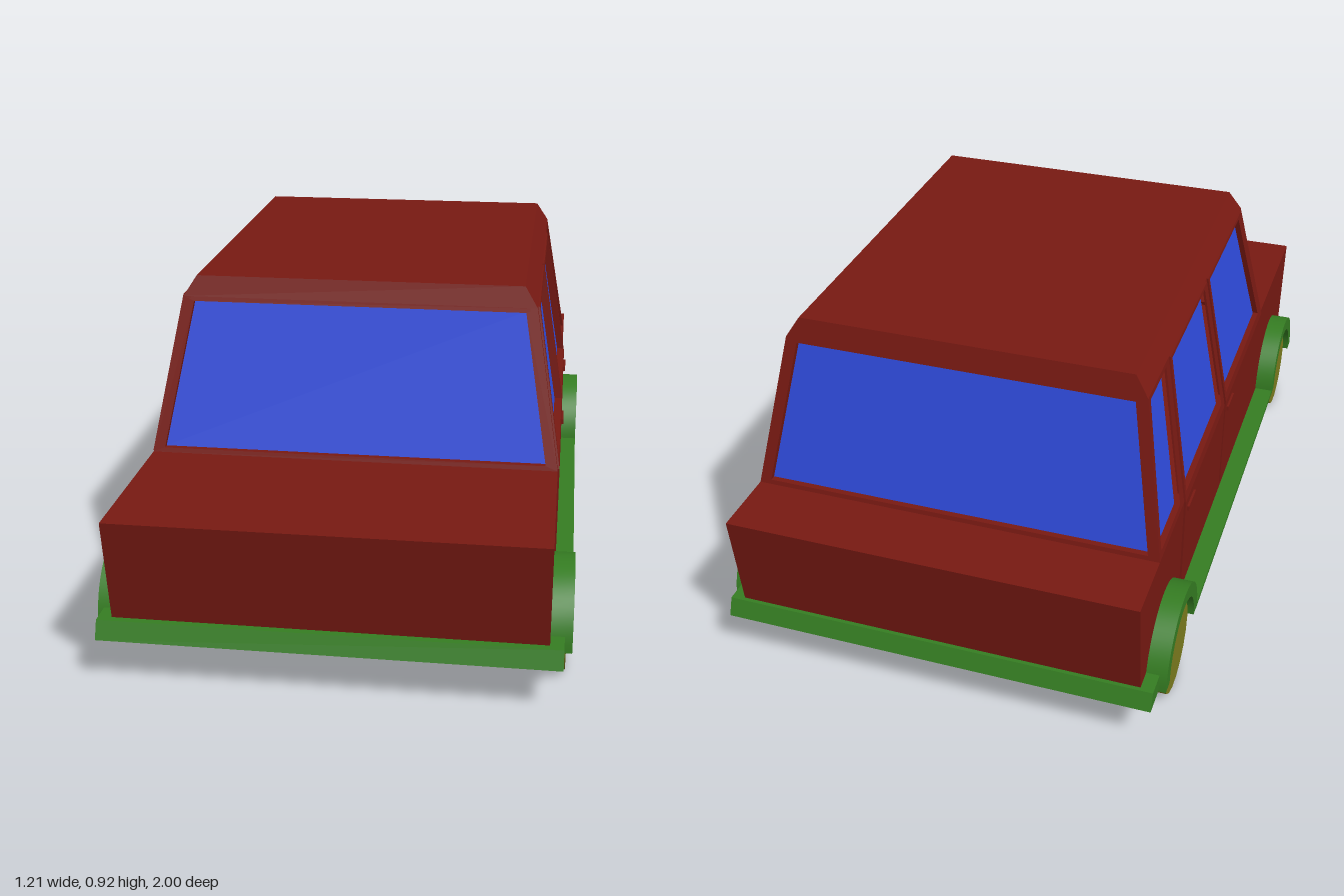
import * as THREE from 'three';
import { toCreasedNormals } from 'three/addons/utils/BufferGeometryUtils.js';

const mat = (color) => new THREE.MeshStandardMaterial({ color });
const BELT = 0.455, EAVE = 0.865, ROOF = 0.92, HALF = 0.55, FLOOR = 0.13;
const AXLES = [0.725, -0.738];

const toShape = (pts) => new THREE.Shape(pts.map(([a, b]) => new THREE.Vector2(a, b)));

export function createModel() {
  const car = new THREE.Group();
  car.name = 'car';
  const red = mat(0x781912), blue = mat(0x2f4bdc), green = mat(0x357d22), olive = mat(0x7d7d1e);

  function add(name, geometry, material, parent = car) {
    const mesh = new THREE.Mesh(geometry, material);
    mesh.name = name;
    parent.add(mesh);
    return mesh;
  }

  function box(name, material, [w, h, d], [x, y, z], parent = car) {
    const mesh = add(name, new THREE.BoxGeometry(w, h, d), material, parent);
    mesh.position.set(x, y, z);
    return mesh;
  }

  // Extrude a (z, y) profile sideways between two x positions
  function sideways(shape, x0, x1) {
    const g = new THREE.ExtrudeGeometry(shape, { depth: x1 - x0, bevelEnabled: false, curveSegments: 12 });
    g.rotateY(-Math.PI / 2).translate(x1, 0, 0);
    return toCreasedNormals(g, 0.5);
  }

  // Lean a flat panel inwards: distance from the centre goes from low (belt) to high (eave)
  function lean(geometry, low, high) {
    const p = geometry.attributes.position;
    for (let i = 0; i < p.count; i++) {
      const t = (p.getY(i) - BELT) / (EAVE - BELT);
      p.setZ(i, p.getZ(i) + low + (high - low) * t);
    }
    geometry.computeVertexNormals();
    return geometry;
  }

  function panel(outline, holes, low, high, outer, inner) {
    const shape = toShape(outline);
    holes.forEach((h) => shape.holes.push(toShape(h)));
    const g = new THREE.ExtrudeGeometry(shape, { depth: outer - inner, bevelEnabled: false });
    return lean(g.translate(0, 0, inner), low, high);
  }

  const glass = (outline, low, high) =>
    lean(new THREE.ShapeGeometry(toShape(outline)).translate(0, 0, -0.016), low, high);

  // Lower body with wheel tunnels
  const profile = new THREE.Shape();
  profile.moveTo(0.945, FLOOR);
  profile.lineTo(1, BELT);
  profile.lineTo(-1, BELT);
  profile.lineTo(-0.955, FLOOR);
  for (const z of [...AXLES].reverse()) profile.absarc(z, FLOOR, 0.135, Math.PI, 0, true);
  profile.closePath();
  add('lowerBody', sideways(profile, -HALF, HALF), red);

  // Roof: a box narrowed towards the top
  const roof = new THREE.BoxGeometry(1, 1, 1);
  const rp = roof.attributes.position;
  for (let i = 0; i < rp.count; i++) {
    const top = rp.getY(i) > 0, front = rp.getZ(i) > 0;
    rp.setXYZ(i, Math.sign(rp.getX(i)) * (top ? 0.445 : 0.48), top ? ROOF : EAVE,
      front ? (top ? 0.38 : 0.397) : (top ? -0.7 : -0.713));
  }
  roof.computeVertexNormals();
  add('roof', roof, red);

  // Windscreen and rear window, each in its frame
  const endFrame = [[-HALF, BELT], [HALF, BELT], [0.48, EAVE], [-0.48, EAVE]];
  const endGlass = [[-0.518, 0.467], [0.518, 0.467], [0.45, 0.853], [-0.45, 0.853]];
  for (const [name, turn, low, high] of [['windscreen', 0, 0.52, 0.397], ['rearWindow', Math.PI, 0.81, 0.713]]) {
    add(name + 'Frame', panel(endFrame, [endGlass], low, high, 0, -0.02), red).rotation.y = turn;
    add(name, glass(endGlass, low, high), blue).rotation.y = turn;
  }

  // Cabin sides in (z, y)
  const sideFrame = [[0.52, BELT], [-0.81, BELT], [-0.713, EAVE], [0.397, EAVE]];
  const windows = {
    frontDoorWindow: [[0.472, 0.468], [-0.032, 0.468], [-0.06, 0.856], [0.352, 0.856]],
    rearDoorWindow: [[-0.08, 0.468], [-0.535, 0.468], [-0.495, 0.856], [-0.106, 0.856]],
    quarterWindow: [[-0.586, 0.473], [-0.795, 0.473], [-0.708, 0.853], [-0.54, 0.853]],
  };
  const doorFrames = {
    frontDoorWindow: [[0.502, BELT], [-0.046, BELT], [-0.075, EAVE], [0.378, EAVE]],
    rearDoorWindow: [[-0.066, BELT], [-0.55, BELT], [-0.508, EAVE], [-0.093, EAVE]],
  };

  for (const side of [1, -1]) {
    const group = new THREE.Group();
    group.name = side > 0 ? 'leftSide' : 'rightSide';
    car.add(group);
    const place = (pts) => pts.map(([z, y]) => [-side * z, y]);
    const turn = side * Math.PI / 2;

    add('cabinSide', panel(place(sideFrame), Object.values(windows).map(place), HALF, 0.48, 0, -0.02),
      red, group).rotation.y = turn;
    for (const [name, pts] of Object.entries(windows)) {
      add(name, glass(place(pts), HALF, 0.48), blue, group).rotation.y = turn;
      if (doorFrames[name]) {
        add(name + 'Frame', panel(place(doorFrames[name]), [place(pts)], HALF, 0.48, 0.005, -0.004),
          red, group).rotation.y = turn;
      }
    }

    // Lower door skins and handles
    for (const [name, z0, z1, handleZ] of [['frontDoor', 0.502, -0.046, 0.01], ['rearDoor', -0.066, -0.55, -0.493]]) {
      box(name, red, [0.01, BELT - 0.17, z0 - z1], [side * HALF, (BELT + 0.17) / 2, (z0 + z1) / 2], group);
      box(name + 'Handle', red, [0.02, 0.014, 0.078], [side * 0.551, 0.423, handleZ], group);
    }

    // Sill strip along the floor between the arches
    box('sill', green, [0.065, 0.014, 1.14], [side * 0.5725, 0.132, -0.005], group);

    // Wheel arch trims and wheels
    for (const z of AXLES) {
      const arch = new THREE.Shape();
      arch.absarc(z, 0.127, 0.175, 0, Math.PI, false);
      arch.absarc(z, 0.127, 0.135, Math.PI, 0, true);
      arch.closePath();
      const [x0, x1] = side > 0 ? [0.54, 0.605] : [-0.605, -0.54];
      add('wheelArch', sideways(arch, x0, x1), green, group);

      const wheel = add('wheel', new THREE.CylinderGeometry(0.125, 0.125, 0.115, 18), olive, group);
      wheel.rotation.z = Math.PI / 2;
      wheel.position.set(side * 0.5325, 0.125, z);
    }
  }

  // Bumpers with a sloping outer face
  for (const dir of [1, -1]) {
    const bumper = toShape([[0.89, 0.127], [0.99, 0.127], [0.972, 0.175], [0.905, 0.175], [0.9, 0.15], [0.89, 0.15]]
      .map(([z, y]) => [dir * z, y]));
    add(dir > 0 ? 'frontBumper' : 'rearBumper', sideways(bumper, -0.585, 0.585), green);
  }

  return car;
}
